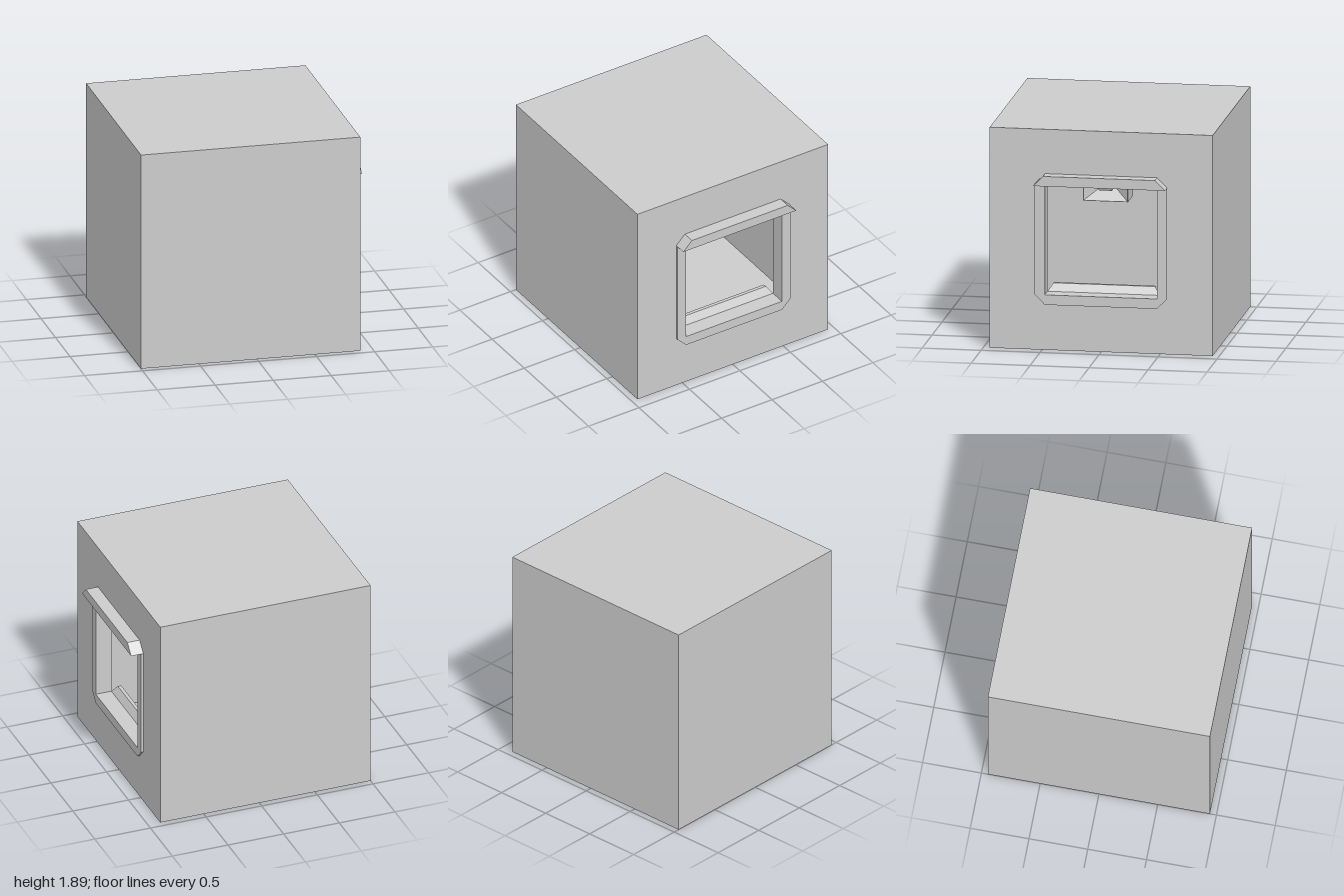
import * as THREE from 'three';

const material = new THREE.MeshStandardMaterial({ color: 0xcccccc, flatShading: true });

function polygon(points) {
  return new THREE.Shape(points.map(([u, v]) => new THREE.Vector2(u, v)));
}

function rectangle(halfWidth, y0, y1) {
  return polygon([[-halfWidth, y0], [halfWidth, y0], [halfWidth, y1], [-halfWidth, y1]]);
}

// Extrudes an upright outline, drawn in (z, y), from x0 to x1
function slab(outline, x0, x1) {
  const geometry = new THREE.ExtrudeGeometry(outline, { depth: x1 - x0, bevelEnabled: false });
  return geometry.rotateY(Math.PI / 2).translate(x0, 0, 0);
}

function box(x0, x1, y0, y1, z0, z1) {
  return new THREE.BoxGeometry(x1 - x0, y1 - y0, z1 - z0)
    .translate((x0 + x1) / 2, (y0 + y1) / 2, (z0 + z1) / 2);
}

// Box whose top and bottom differ in size: each is [x0, x1, halfWidth]
function taperedBox(bottom, top, y0, y1) {
  const geometry = new THREE.BoxGeometry(1, 1, 1);
  const p = geometry.attributes.position;
  for (let i = 0; i < p.count; i++) {
    const upper = p.getY(i) > 0;
    const [x0, x1, half] = upper ? top : bottom;
    p.setXYZ(i, p.getX(i) > 0 ? x1 : x0, upper ? y1 : y0, Math.sign(p.getZ(i)) * half);
  }
  geometry.computeVertexNormals();
  return geometry;
}

// Four sloping faces from a wide front rectangle to a small rear one
function funnel(front, rear) {
  const corners = ([x, half, y0, y1]) =>
    [[x, y0, half], [x, y0, -half], [x, y1, -half], [x, y1, half]];
  const a = corners(front), b = corners(rear), vertices = [];
  for (let i = 0; i < 4; i++) {
    const j = (i + 1) % 4;
    vertices.push(...a[i], ...a[j], ...b[j], ...a[i], ...b[j], ...b[i]);
  }
  vertices.push(...b[0], ...b[1], ...b[2], ...b[0], ...b[2], ...b[3]);
  const geometry = new THREE.BufferGeometry();
  geometry.setAttribute('position', new THREE.Float32BufferAttribute(vertices, 3));
  geometry.computeVertexNormals();
  return geometry;
}

export function createModel() {
  const model = new THREE.Group();
  const add = (name, geometry) => {
    const mesh = new THREE.Mesh(geometry, material);
    mesh.name = name;
    model.add(mesh);
  };

  const H = 1.89, W = 0.945, T = 0.06;   // height, half depth, wall thickness
  const outer = 0.89, inner = outer - T; // faces of the wall with the window
  const opening = () => rectangle(0.475, 0.475, 1.425);

  // Hollow cube shell
  const windowWall = rectangle(W, 0, H);
  windowWall.holes.push(opening());
  add('windowWall', slab(windowWall, inner, outer));
  add('farWall', box(-1, -1 + T, 0, H, -W, W));
  add('floor', box(-1 + T, inner, 0, T, -W, W));
  add('ceiling', box(-1 + T, inner, H - T, H, -W, W));
  add('frontWall', box(-1 + T, inner, T, H - T, W - T, W));
  add('backWall', box(-1 + T, inner, T, H - T, -W, -W + T));

  // Window frame with cut corners, lining the opening
  const frame = polygon([
    [-0.475, 0.39], [0.475, 0.39], [0.56, 0.475], [0.56, 1.425],
    [0.475, 1.51], [-0.475, 1.51], [-0.56, 1.425], [-0.56, 0.475],
  ]);
  frame.holes.push(opening());
  add('windowFrame', slab(frame, 0.77, 0.91));

  // Canopy above the window
  const canopy = polygon([[-0.56, 1.425], [0.56, 1.425], [0.475, 1.51], [-0.475, 1.51]]);
  add('canopy', slab(canopy, 0.91, 1));

  // Raised ledge just behind the sill
  add('innerLedge', taperedBox([0.69, 0.77, 0.475], [0.7, 0.73, 0.43], 0.475, 0.54));
  add('ledgeSupport', box(0.69, 0.77, 0.39, 0.475, -0.475, 0.475));

  // Housing over the window inside, with the nozzle hanging from it
  add('upperHousing', box(0.52, 0.77, 1.425, H - T, -W + T, W - T));
  add('nozzleNeck', box(0.59, 0.71, 1.39, 1.425, -0.07, 0.07));
  add('nozzle', taperedBox([0.61, 0.68, 0.055], [0.59, 0.71, 0.07], 1.335, 1.39));

  // Recessed hopper behind the nozzle
  const casing = rectangle(0.19, 1.24, 1.41);
  casing.holes.push(rectangle(0.187, 1.243, 1.407));
  add('hopperCasing', slab(casing, 0.42, 0.67));
  add('hopperBack', box(0.41, 0.42, 1.24, 1.41, -0.19, 0.19));
  add('hopperFunnel', funnel([0.67, 0.187, 1.243, 1.407], [0.53, 0.055, 1.34, 1.39]));
  return model;
}
